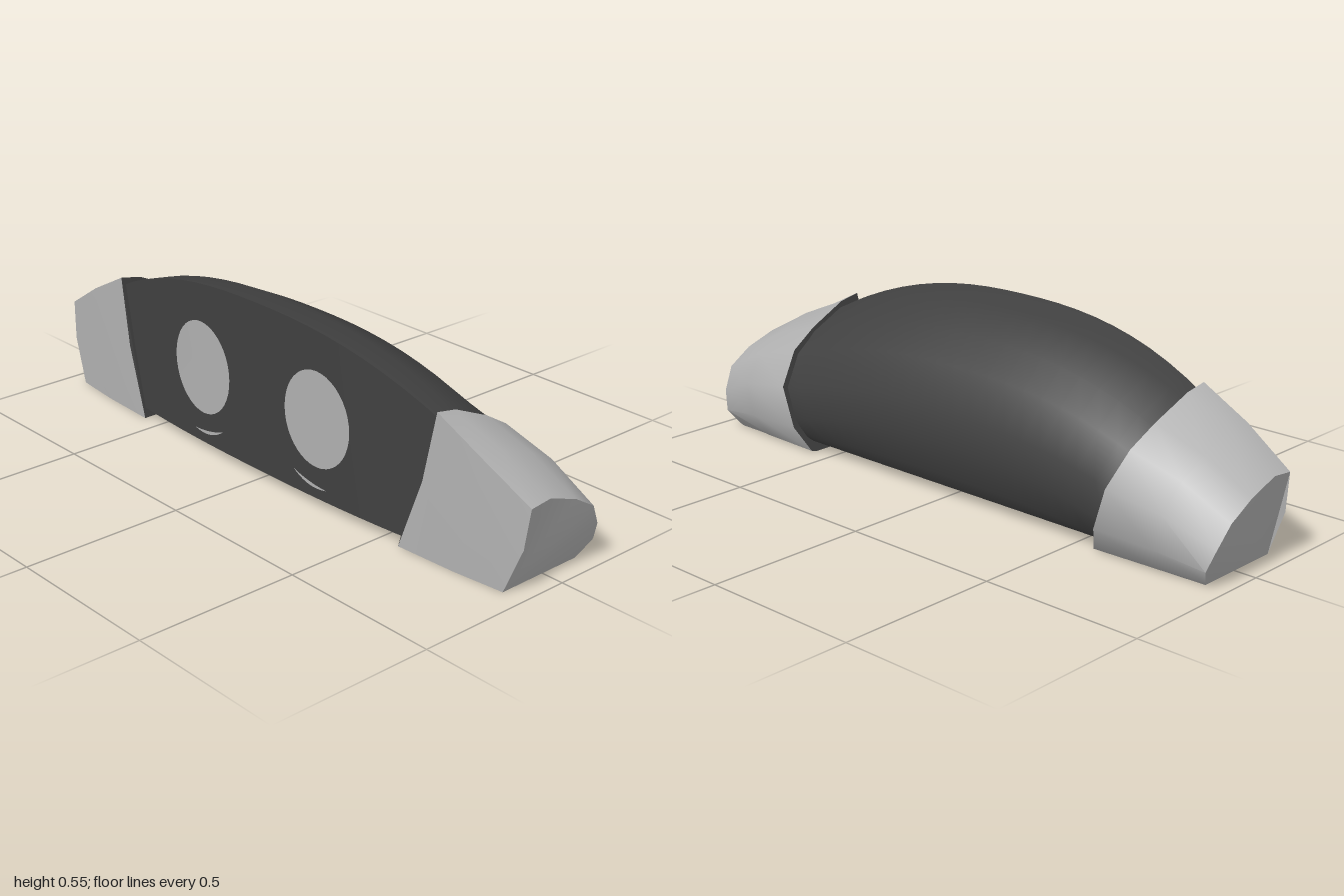
import * as THREE from 'three';
import { toCreasedNormals } from 'three/addons/utils/BufferGeometryUtils.js';

// Cross-sections as [z, y], from front bottom, up the front, over the top and down the back
const BODY_MIDDLE = [[.195, .03], [.195, .25], [.195, .55], [.085, .533], [-.035, .475],
  [-.105, .393], [-.175, .28], [-.18, .18], [-.165, .08], [-.13, .03]];
const BODY_END = [[.168, .03], [.16, .21], [.15, .4], [.085, .392], [-.035, .34],
  [-.115, .288], [-.18, .2], [-.178, .1], [-.15, .045], [-.13, .03]];
const CAP_INNER = [[.18, 0], [.172, .22], [.165, .433], [.095, .42], [-.035, .362],
  [-.125, .308], [-.197, .21], [-.193, .085], [-.15, .005], [-.13, 0]];
const CAP_MIDDLE = [[.17, 0], [.165, .18], [.158, .355], [.085, .355], [-.035, .31],
  [-.122, .262], [-.187, .18], [-.19, .08], [-.148, .008], [-.13, 0]];
const CAP_OUTER = [[.153, 0], [.143, .14], [.135, .26], [.065, .267], [-.035, .233],
  [-.115, .185], [-.155, .115], [-.168, .055], [-.14, .015], [-.128, 0]];

// The slanted, slightly bowed planes that the sections lie on
const innerX = y => .57 + .43 * y - .36 * y * y;
const middleX = y => .77 + .45 * y - .7 * y * y;
const outerX = y => .931 + .55 * y - 1.1 * y * y;

// Closed skin over rings ordered by rising x; groups: 0 side, 1 low-x end, 2 high-x end
function loft(rings) {
  const n = rings[0].length, last = (rings.length - 1) * n, index = [];
  for (let i = 0; i < rings.length - 1; i++) {
    for (let j = 0; j < n; j++) {
      const a = i * n + j, b = i * n + (j + 1) % n;
      index.push(a, a + n, b, b, a + n, b + n);
    }
  }
  const sideCount = index.length;
  for (let j = 1; j < n - 1; j++) index.push(0, j, j + 1);
  for (let j = 1; j < n - 1; j++) index.push(last, last + j + 1, last + j);
  const endCount = (n - 2) * 3;
  const geo = new THREE.BufferGeometry();
  geo.setAttribute('position', new THREE.Float32BufferAttribute(rings.flat(2), 3));
  geo.setIndex(index);
  geo.addGroup(0, sideCount, 0);
  geo.addGroup(sideCount, endCount, 1);
  geo.addGroup(sideCount + endCount, endCount, 2);
  return toCreasedNormals(geo, .75);
}

// Body section at u from -1 (right end) to 1 (left end)
function bodyRing(u) {
  const w = Math.abs(u) ** 2.4;
  return BODY_MIDDLE.map(([z, y], j) => {
    const yy = THREE.MathUtils.lerp(y, BODY_END[j][1], w);
    const zz = THREE.MathUtils.lerp(z, BODY_END[j][0], w);
    return [u * (innerX(BODY_END[j][1]) + .02), yy, zz];
  });
}

// Lay a flat shape onto the bowed front of the body
function layOnFront(geo) {
  const p = geo.attributes.position;
  for (let i = 0; i < p.count; i++) {
    const u = Math.abs(p.getX(i)) / (innerX(p.getY(i)) + .02);
    p.setZ(i, .199 - .033 * u ** 2.4);
  }
  geo.computeVertexNormals();
  return geo;
}

export function createModel() {
  const group = new THREE.Group();
  const dark = new THREE.MeshStandardMaterial({ color: 0x404040 });
  dark.name = 'charcoal';
  const light = new THREE.MeshStandardMaterial({ color: 0xb0b0b0 });
  light.name = 'light grey';

  const add = (name, geo, material) => {
    const mesh = new THREE.Mesh(geo, material);
    mesh.name = name;
    group.add(mesh);
  };

  // Arched body
  const rings = [];
  for (let i = 0; i <= 20; i++) rings.push(bodyRing(i / 10 - 1));
  add('body', loft(rings), [dark, dark, dark]);

  for (const s of [1, -1]) {
    const side = s > 0 ? 'left' : 'right';

    // End cap with a dark inner face
    const capRings = [[CAP_INNER, innerX], [CAP_MIDDLE, middleX], [CAP_OUTER, outerX]]
      .map(([pts, fx]) => pts.map(([z, y]) => [s * fx(y), y, z]));
    if (s < 0) capRings.reverse();
    add(side + 'EndCap', loft(capRings), s > 0 ? [light, dark, light] : [light, light, dark]);

    // Round front disc
    const disc = new THREE.CircleGeometry(1, 40).scale(.13, .146, 1).translate(s * .253, .275, 0);
    add(side + 'Disc', layOnFront(disc), light);

    // Thin crescent under the disc
    const crescent = new THREE.Shape();
    crescent.moveTo(s * .16, .095);
    crescent.quadraticCurveTo(s * .22, .05, s * .295, .068);
    crescent.quadraticCurveTo(s * .22, .072, s * .16, .095);
    add(side + 'Crescent', layOnFront(new THREE.ShapeGeometry(crescent, 10)), light);
  }
  return group;
}
